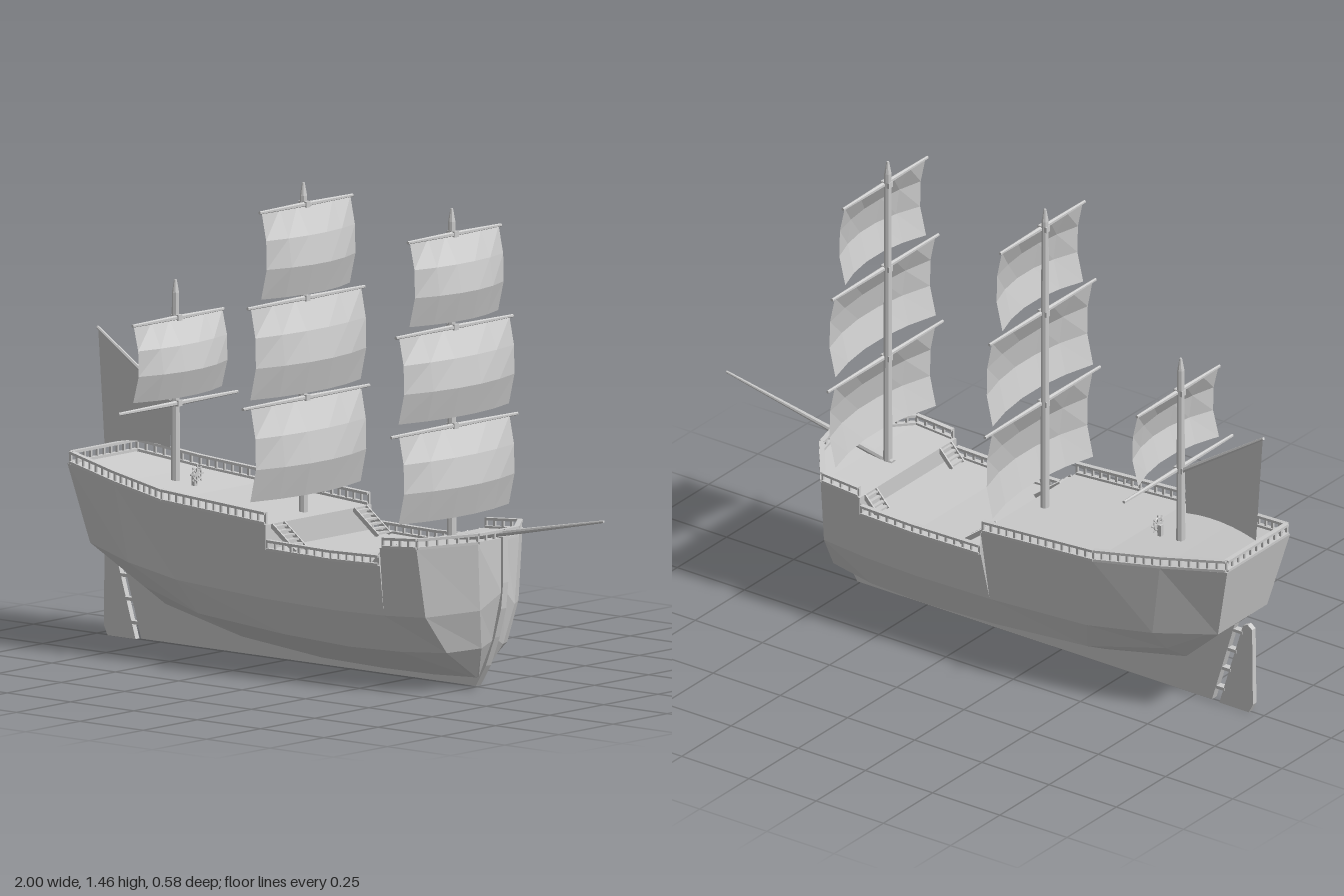
import * as THREE from 'three';
import { mergeGeometries } from 'three/addons/utils/BufferGeometryUtils.js';

const flat = new THREE.MeshStandardMaterial({ color: 0xcccccc, flatShading: true });
const cloth = new THREE.MeshStandardMaterial({ color: 0xcccccc, flatShading: true, side: THREE.DoubleSide });
const V = (x, y, z = 0) => new THREE.Vector3(x, y, z);

function part(name, geometry, material = flat) {
  const mesh = new THREE.Mesh(geometry, material);
  mesh.name = name;
  return mesh;
}

function boxAt(w, h, d, x, y, z) {
  return new THREE.BoxGeometry(w, h, d).translate(x, y, z);
}

// Square beam from a to b
function beam(a, b, w, h) {
  const dir = b.clone().sub(a);
  const g = new THREE.BoxGeometry(w, h, dir.length());
  const m = new THREE.Matrix4().lookAt(b, a, V(0, 1, 0));
  return g.applyMatrix4(m).translate(...a.clone().add(b).multiplyScalar(0.5).toArray());
}

// Round tapered pole from a (radius ra) to b (radius rb)
function pole(a, b, ra, rb, sides = 8) {
  const dir = b.clone().sub(a);
  const g = new THREE.CylinderGeometry(rb, ra, dir.length(), sides);
  g.applyQuaternion(new THREE.Quaternion().setFromUnitVectors(V(0, 1, 0), dir.normalize()));
  return g.translate(...a.clone().add(b).multiplyScalar(0.5).toArray());
}

function slab(points, thickness) {
  const shape = new THREE.Shape(points.map(p => new THREE.Vector2(...p)));
  return new THREE.ExtrudeGeometry(shape, { depth: thickness, bevelEnabled: false }).translate(0, 0, -thickness / 2);
}

// Hull: each station lists sheer, bilge, lower bilge and keel points (x, y, half width)
function hullGeometry() {
  const aft = [[-.14, .225, .22], [-.12, .115, .17], [-.1, .025, .012]];
  const fore = [[.32, .225, .22], [.34, .11, .165], [.34, .022, .012]];
  const stations = [
    [[-.98, .54, .16], [-.92, .3, .125], [-.92, .3, .06], [-.92, .3, .008]],
    [[-.76, .508, .203], [-.72, .27, .185], [-.72, .19, .115], [-.72, .12, .01]],
    [[-.54, .482, .245], [-.5, .245, .22], [-.46, .14, .165], [-.42, .055, .012]],
    [[-.125, .455, .245], ...aft],
    [[-.125, .38, .245], ...aft],
    [[.13, .375, .245], [.13, .22, .22], [.14, .105, .17], [.14, .02, .012]],
    [[.325, .38, .245], ...fore],
    [[.325, .435, .245], ...fore],
    [[.47, .445, .245], [.48, .235, .215], [.5, .12, .14], [.49, .03, .012]],
    [[.585, .455, .095], [.58, .25, .08], [.56, .13, .05], [.51, .03, .012]],
    [[.605, .46, .01], [.605, .3, .01], [.57, .15, .01], [.515, .03, .01]],
  ];
  const pos = [], index = [], n = 8;
  for (const s of stations) {
    for (const [x, y, z] of s) pos.push(x, y, z);
    for (const [x, y, z] of [...s].reverse()) pos.push(x, y, -z);
  }
  const last = (stations.length - 1) * n;
  for (let i = 0; i < last; i += n)
    for (let j = 0; j < n; j++) {
      const k = (j + 1) % n;
      index.push(i + j, i + n + k, i + n + j, i + j, i + k, i + n + k);
    }
  for (let j = 1; j < n - 1; j++) {
    index.push(0, j + 1, j);
    index.push(last, last + j, last + j + 1);
  }
  const g = new THREE.BufferGeometry();
  g.setAttribute('position', new THREE.Float32BufferAttribute(pos, 3));
  g.setIndex(index);
  const out = g.toNonIndexed();
  out.computeVertexNormals();
  return out;
}

// Railing: sill, handrail and evenly spaced posts along a path
function railing(name, path, height) {
  const parts = [], up = V(0, height, 0);
  for (let i = 0; i < path.length - 1; i++) {
    const a = path[i], b = path[i + 1];
    parts.push(beam(a, b, .016, .008));
    parts.push(beam(a.clone().add(up), b.clone().add(up), .016, .008));
    const count = Math.max(1, Math.round(a.distanceTo(b) / .03));
    for (let k = 0; k <= count; k++) {
      const p = a.clone().lerp(b, k / count);
      parts.push(boxAt(.007, height, .007, p.x, p.y + height / 2, p.z));
    }
  }
  return part(name, mergeGeometries(parts));
}

// Flight of open treads between two heights
function stairs(name, x0, y0, x1, y1, z, steps) {
  const parts = [];
  for (let k = 0; k < steps; k++) {
    const t = (k + .5) / steps;
    parts.push(boxAt(Math.abs(x1 - x0) / steps, .006, .055, x0 + (x1 - x0) * t, y0 + (y1 - y0) * t, z));
  }
  for (const s of [-.028, .028]) parts.push(beam(V(x0, y0, z + s), V(x1, y1, z + s), .005, .014));
  return part(name, mergeGeometries(parts));
}

// Square sail billowing forward, edges held closer to the mast
function sail(x, top, bottom, half) {
  const g = new THREE.PlaneGeometry(2, 1, 5, 3), p = g.attributes.position;
  const edge = [.01, .028, .03, .008], belly = [0, .03, .045, .042], rows = [0, .32, .65, 1];
  for (let i = 0; i < p.count; i++) {
    const u = p.getX(i), r = Math.round((.5 - p.getY(i)) * 3);
    p.setXYZ(i, x + edge[r] + belly[r] * (1 - u * u), top + (bottom - top) * rows[r], -u * half);
  }
  g.computeVertexNormals();
  return part('squareSail', g, cloth);
}

// Mast with its yards [y, half length] and sails [top, bottom, half width]
function mast(name, x, base, top, yards, sails) {
  const group = new THREE.Group();
  group.name = name;
  group.add(part('mastPole', mergeGeometries([
    pole(V(x, base, 0), V(x, top - .04, 0), .014, .011),
    pole(V(x, top - .04, 0), V(x, top, 0), .011, .004),
  ])));
  for (const [y, half] of yards) {
    const parts = [boxAt(.032, .018, .02, x + .004, y, 0)];
    for (const s of [-1, 1]) parts.push(pole(V(x + .01, y, 0), V(x + .01, y, s * half), .008, .005, 6));
    group.add(part('yard', mergeGeometries(parts)));
  }
  for (const s of sails) group.add(sail(x, ...s));
  return group;
}

export function createModel() {
  const ship = new THREE.Group();
  ship.name = 'sailingShip';

  ship.add(part('hull', hullGeometry()));
  ship.add(part('keelAndStem', slab([[-.905, .3], [-.815, .005], [.505, .005], [.545, .07], [.58, .16], [.605, .25],
    [.613, .33], [.612, .47], [.59, .47], [.585, .3], [.5, .06], [-.1, .06], [-.4, .09], [-.7, .16], [-.86, .31]], .024)));
  ship.add(part('rudder', slab([[-.965, .03], [-.95, 0], [-.84, 0], [-.928, .285], [-.945, .293], [-.962, .28]], .018)));
  const hinges = [.05, .12, .19, .26].map(y => boxAt(.035, .01, .022, -.83 - (y - .005) * .306, y, 0));
  ship.add(part('rudderHinges', mergeGeometries(hinges)));

  // Railings and stairs, mirrored port and starboard
  for (const s of [-1, 1]) {
    ship.add(railing('aftRailing', [V(-.972, .543, s * .153), V(-.76, .511, s * .196), V(-.54, .485, s * .238), V(-.13, .459, s * .238)], .03));
    ship.add(railing('waistRailing', [V(-.12, .382, s * .242), V(.13, .378, s * .242), V(.32, .383, s * .242)], .025));
    ship.add(railing('foreRailing', [V(.333, .438, s * .238), V(.467, .448, s * .238), V(.58, .458, s * .09), V(.6, .462, 0)], .025));
    ship.add(stairs('aftStairs', -.125, .452, -.03, .38, s * .19, 6));
    ship.add(stairs('foreStairs', .328, .432, .28, .38, s * .19, 4));
  }
  ship.add(railing('sternRailing', [V(-.972, .543, -.153), V(-.972, .543, .153)], .03));

  // Masts with yards and square sails
  ship.add(mast('mizzenMast', -.69, .48, 1.11, [[.995, .21], [.735, .275]], [[.995, .76, .205]]));
  ship.add(mast('mainMast', -.185, .44, 1.46, [[1.395, .215], [1.11, .27], [.807, .292]],
    [[1.395, 1.13, .205], [1.11, .83, .255], [.805, .52, .255]]));
  ship.add(mast('foreMast', .4, .42, 1.445, [[1.368, .215], [1.085, .27], [.785, .292]],
    [[1.368, 1.11, .205], [1.085, .82, .255], [.785, .515, .255]]));

  // Fore-and-aft sail on the mizzen with its gaff
  const spanker = new THREE.Shape();
  spanker.moveTo(-.995, .93);
  spanker.lineTo(-.705, .74);
  spanker.lineTo(-.71, .595);
  spanker.quadraticCurveTo(-.84, .62, -.97, .58);
  spanker.closePath();
  ship.add(part('spankerSail', new THREE.ShapeGeometry(spanker, 6), cloth));
  ship.add(part('gaff', pole(V(-.69, .73), V(-.998, .932), .008, .005, 6)));

  ship.add(part('bowsprit', pole(V(.38, .435), V(1, .557), .012, .004)));

  // Steering wheel on its stand
  const wheel = [new THREE.TorusGeometry(.02, .003, 5, 12).rotateY(Math.PI / 2).translate(-.605, .527, 0),
    boxAt(.012, .045, .014, -.615, .505, 0)];
  for (let k = 0; k < 4; k++)
    wheel.push(new THREE.BoxGeometry(.004, .058, .004).rotateX(k * Math.PI / 4).translate(-.605, .527, 0));
  ship.add(part('steeringWheel', mergeGeometries(wheel)));

  return ship;
}
